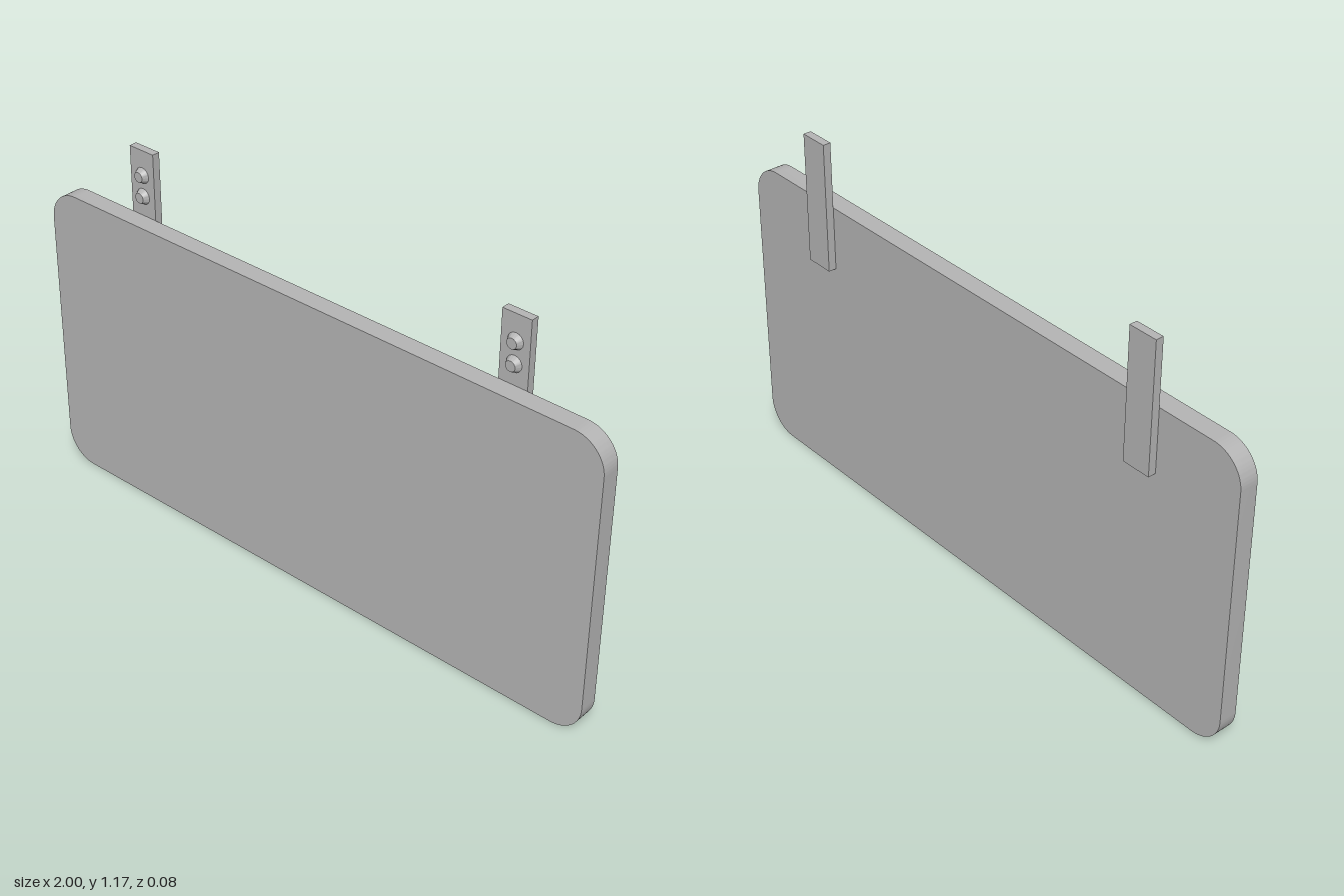
import * as THREE from 'three';
import { toCreasedNormals } from 'three/addons/utils/BufferGeometryUtils.js';

export function createModel() {
  const model = new THREE.Group();
  model.name = 'hangingPanel';
  const grey = new THREE.MeshStandardMaterial({ color: 0xb4b4b4 });
  grey.name = 'grey';

  const add = (name, geometry, x, y, z) => {
    const mesh = new THREE.Mesh(geometry, grey);
    mesh.name = name;
    mesh.position.set(x, y, z);
    model.add(mesh);
  };

  // Rounded rectangular board
  const h = 0.957, r = 0.1;
  const outline = new THREE.Shape();
  outline.absarc(1 - r, r, r, -Math.PI / 2, 0);
  outline.absarc(1 - r, h - r, r, 0, Math.PI / 2);
  outline.absarc(r - 1, h - r, r, Math.PI / 2, Math.PI);
  outline.absarc(r - 1, r, r, Math.PI, Math.PI * 1.5);
  const board = new THREE.ExtrudeGeometry(outline, { depth: 0.059, bevelEnabled: false, curveSegments: 16 });
  add('board', toCreasedNormals(board, 0.6), 0, 0, -0.017);

  // Mounting straps on the back, each with two tapered bolt heads facing forward
  const strap = new THREE.BoxGeometry(0.093, 0.414, 0.025);
  const bolt = toCreasedNormals(new THREE.CylinderGeometry(0.016, 0.025, 0.017, 16).rotateX(Math.PI / 2), 0.6);
  for (const [side, x] of [['left', 0.667], ['right', -0.667]]) {
    add(side + 'Strap', strap, x, 0.96, -0.0295);
    add(side + 'UpperBolt', bolt, x, 1.087, -0.0085);
    add(side + 'LowerBolt', bolt, x, 1.02, -0.0085);
  }
  return model;
}
